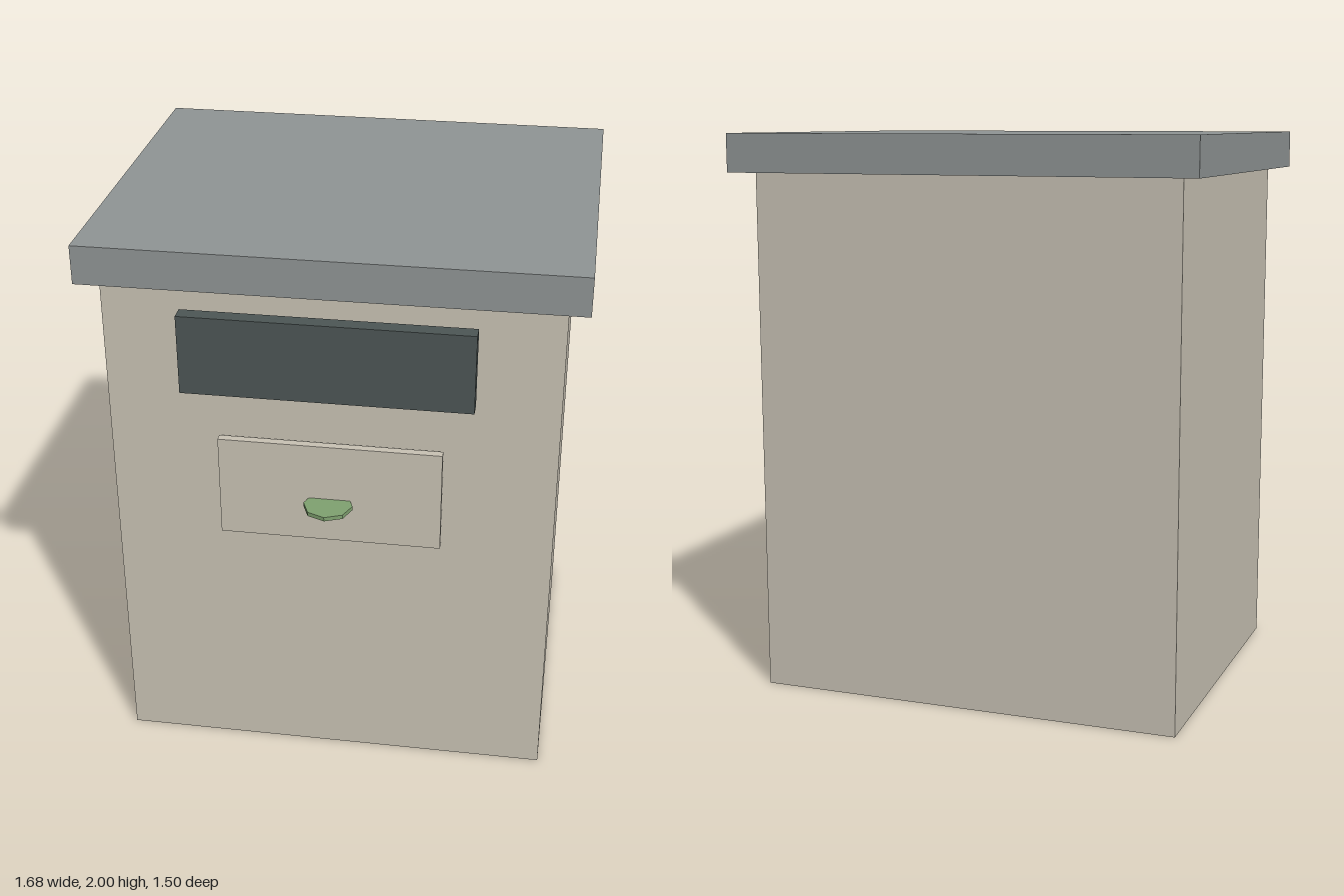
import * as THREE from 'three';

const paint = (name, color) => {
  const m = new THREE.MeshStandardMaterial({ color });
  m.name = name;
  return m;
};

export function createModel() {
  const group = new THREE.Group();
  const beige = paint('beige', 0xc9c3b5);
  const grey = paint('roofGrey', 0x909595);
  const dark = paint('darkGrey', 0x4d5655);
  const green = paint('green', 0x80a270);

  const add = (name, geometry, material, x, y, z) => {
    const mesh = new THREE.Mesh(geometry, material);
    mesh.name = name;
    mesh.position.set(x, y, z);
    group.add(mesh);
  };
  // Box centred on x, given by its width and its y and z ranges
  const addBox = (name, material, w, y0, y1, z0, z1) =>
    add(name, new THREE.BoxGeometry(w, y1 - y0, z1 - z0), material, 0, (y0 + y1) / 2, (z0 + z1) / 2);

  // Cabinet and overhanging lid
  addBox('body', beige, 1.54, 0, 1.865, -0.675, 0.585);
  addBox('lid', grey, 1.68, 1.865, 2, -0.75, 0.65);

  // Front details, standing slightly clear of the body
  addBox('darkPanel', dark, 0.98, 1.515, 1.795, 0.64, 0.695);
  addBox('drawerFront', beige, 0.77, 0.94, 1.31, 0.6, 0.63);

  // Flat eight-sided handle through the drawer front
  const disc = new THREE.CylinderGeometry(0.085, 0.085, 0.015, 8).toNonIndexed();
  disc.computeVertexNormals();
  add('handle', disc, green, 0, 1.097, 0.662);

  return group;
}
